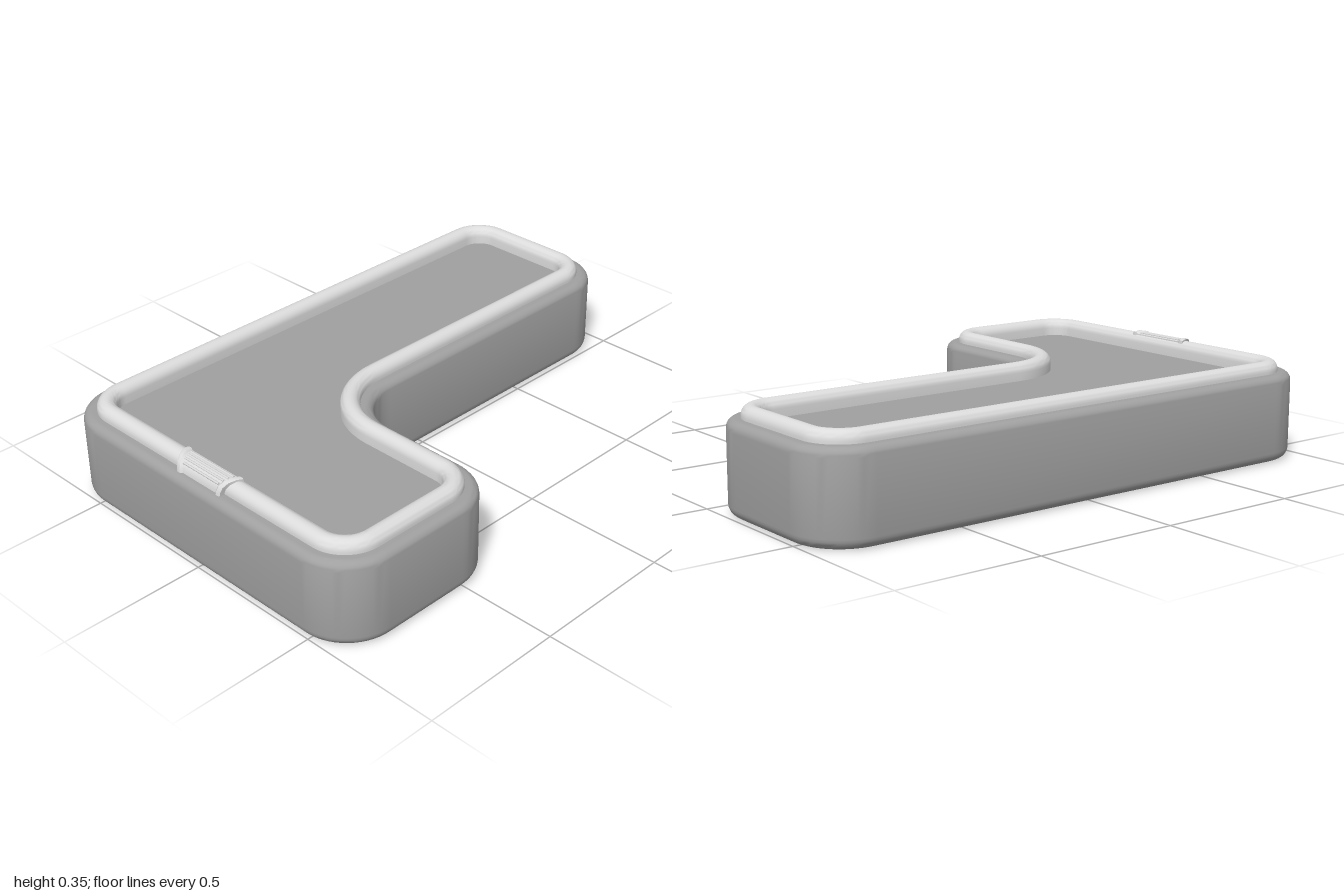
import * as THREE from 'three';
import { toCreasedNormals } from 'three/addons/utils/BufferGeometryUtils.js';

const R = 0.18; // plan corner radius

// Corners of the L plan: arc centre x, z, start angle, end angle (quarter turns), convex or not
const CORNERS = [
  [0.665 - R, 1 - R, 0, 1, true],
  [-0.665 + R, 1 - R, 1, 2, true],
  [-0.665 + R, -1 + R, 2, 3, true],
  [0 - R, -1 + R, 3, 4, true],
  [0 + R, 0.335 - R, 2, 1, false],
  [0.665 - R, 0.335 + R, 3, 4, true],
];

// Rounded L outline moved inwards by a distance
function outline(inset, steps = 14) {
  const points = [];
  for (const [cx, cz, a0, a1, convex] of CORNERS) {
    const r = convex ? R - inset : R + inset;
    for (let i = 0; i <= steps; i++) {
      const a = (a0 + (a1 - a0) * i / steps) * Math.PI / 2;
      points.push([cx + r * Math.cos(a), cz + r * Math.sin(a)]);
    }
  }
  return points;
}

// Surface through rows of [x, y, z] points
function loft(rows, closed, crease) {
  const n = rows[0].length, index = [];
  for (let j = 0; j < rows.length - 1; j++) {
    for (let i = 0; i < (closed ? n : n - 1); i++) {
      const k = (i + 1) % n, a = j * n + i, b = a + n, c = j * n + k, d = c + n;
      index.push(a, b, c, c, b, d);
    }
  }
  const g = new THREE.BufferGeometry();
  g.setAttribute('position', new THREE.Float32BufferAttribute(rows.flat(2), 3));
  g.setIndex(index);
  return toCreasedNormals(g, crease);
}

// Sweep a profile of [inset, y] points around the outline
const sweep = (profile) => loft(
  profile.map(([d, y]) => outline(d).map(([x, z]) => [x, y, z])), true, 0.6);

// Flat L panel facing up (1) or down (-1)
function panel(inset, y, up) {
  const shape = new THREE.Shape(outline(inset).map(([x, z]) => new THREE.Vector2(x, -up * z)));
  return new THREE.ShapeGeometry(shape).rotateX(-up * Math.PI / 2).translate(0, y, 0);
}

// Arc of profile points, angles in degrees
function arc(cx, cy, r, from, to, n = 6) {
  return Array.from({ length: n + 1 }, (_, i) => {
    const a = THREE.MathUtils.degToRad(from + (to - from) * i / n);
    return [cx + r * Math.cos(a), cy + r * Math.sin(a)];
  });
}

export function createModel() {
  const group = new THREE.Group();
  const bodyGrey = new THREE.MeshStandardMaterial({ color: 0xa0a0a0 });
  const rimGrey = new THREE.MeshStandardMaterial({ color: 0xdcdcdc });
  const claspGrey = new THREE.MeshStandardMaterial({ color: 0xdcdcdc, side: THREE.DoubleSide });
  claspGrey.name = 'claspGrey';
  bodyGrey.name = 'bodyGrey';
  rimGrey.name = 'rimGrey';
  const add = (name, geometry, material, parent = group) => {
    const mesh = new THREE.Mesh(geometry, material);
    mesh.name = name;
    parent.add(mesh);
    return mesh;
  };

  // Tray body with rounded edges and a recessed underside
  add('body', sweep([
    [0.085, 0.035],
    ...arc(0.065, 0.02, 0.02, 0, -90),
    ...arc(0.035, 0.035, 0.035, 270, 180),
    ...arc(0.03, 0.27, 0.03, 180, 90),
    [0.07, 0.3],
  ]), bodyGrey);
  add('underside', panel(0.085, 0.035, -1), bodyGrey);
  add('floor', panel(0.11, 0.28, 1), bodyGrey);

  // Rounded rim around the floor
  add('rim', sweep([
    [0.045, 0.297],
    ...arc(0.0775, 0.3075, 0.0325, 180, 0, 14),
    [0.11, 0.28],
  ]), rimGrey);

  // Clasp folded over the front of the rim: [z, y, half width]
  const clasp = new THREE.Group();
  clasp.name = 'clasp';
  group.add(clasp);
  const path = [
    [0.9, 0.325, 0.13], [0.902, 0.344, 0.13], [0.925, 0.349, 0.125],
    [0.95, 0.344, 0.115], [0.967, 0.329, 0.106], [0.974, 0.312, 0.102], [0.976, 0.296, 0.1],
  ];
  // Cross-section: [distance in from the side, drop towards the rim]
  const half = [[0, 0.022], [0, 0.002], [0.006, 0], [0.016, 0], [0.024, 0.006]];
  const section = [
    ...half.map(([d, drop]) => [1, d, drop]),
    ...half.toReversed().map(([d, drop]) => [-1, d, drop]),
  ];
  const centre = [0.92, 0.29]; // the drop runs towards this line
  add('claspPlate', loft(path.map(([z, y, w]) => section.map(([side, d, drop]) => {
    const dz = centre[0] - z, dy = centre[1] - y, len = Math.hypot(dz, dy);
    return [side * (w - d), y + dy / len * drop, z + dz / len * drop];
  })).reverse(), false, 0.6), claspGrey);

  // Grip ridges across the clasp
  for (const [z, y, w] of [[0.915, 0.341, 0.2], [0.931, 0.341, 0.19], [0.946, 0.338, 0.18], [0.959, 0.33, 0.165]]) {
    const ridge = add('gripRidge', new THREE.CylinderGeometry(0.004, 0.004, w, 8), rimGrey, clasp);
    ridge.rotation.z = Math.PI / 2;
    ridge.position.set(0, y, z);
  }
  return group;
}
